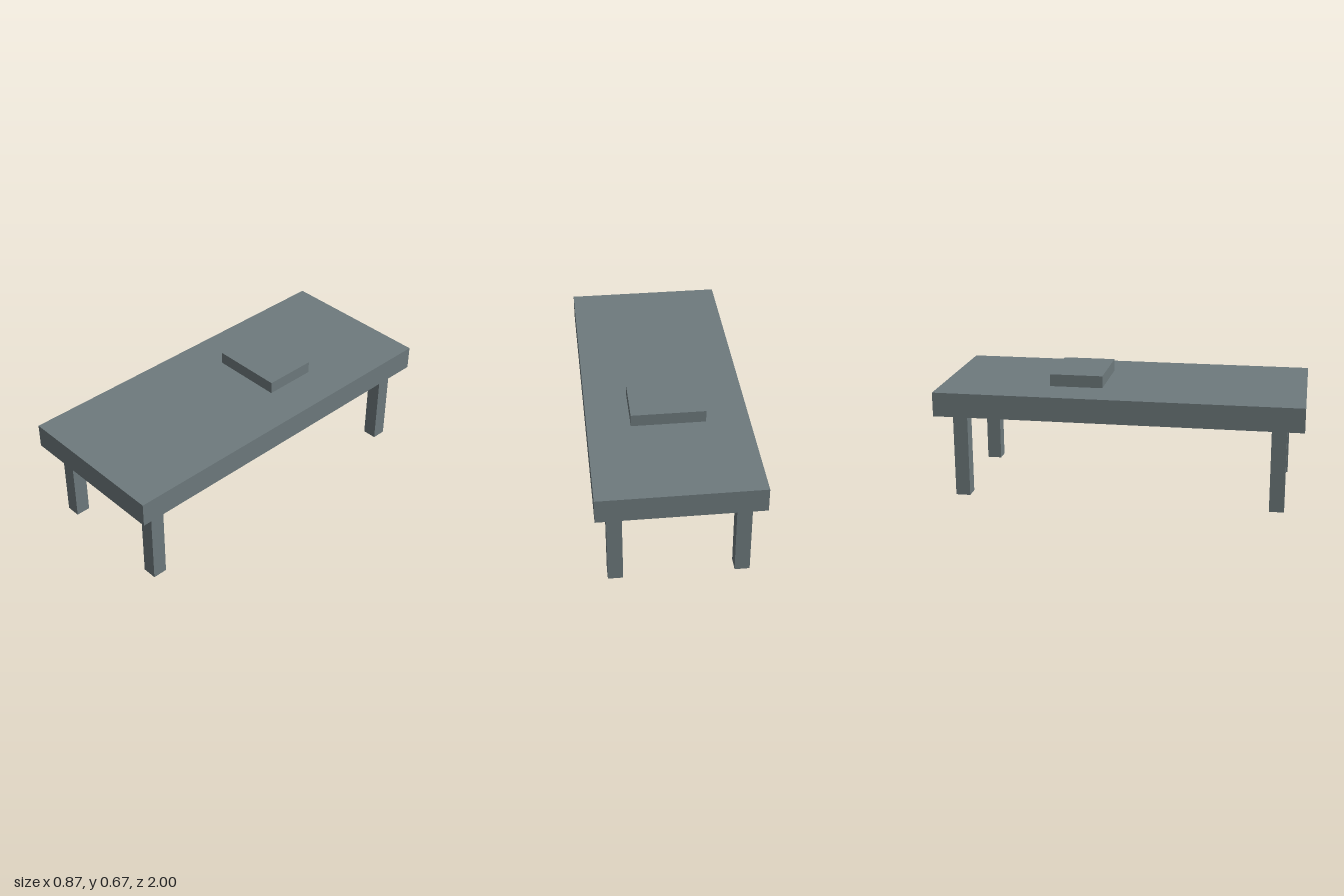
import * as THREE from 'three';

export function createModel() {
  const model = new THREE.Group();
  model.name = 'table';
  const slateGrey = new THREE.MeshStandardMaterial({ color: 0x6e7a7d });
  slateGrey.name = 'slateGrey';

  // Box given by its size and the centre of its base
  const addBox = (name, [w, h, d], [x, y, z]) => {
    const mesh = new THREE.Mesh(new THREE.BoxGeometry(w, h, d), slateGrey);
    mesh.name = name;
    mesh.position.set(x, y + h / 2, z);
    model.add(mesh);
  };

  const legHeight = 0.467;
  const topThickness = 0.133;

  // Thick slab and the small raised block behind its middle
  addBox('tableTop', [0.866, topThickness, 2], [0, legHeight, 0]);
  addBox('raisedBlock', [0.4, 0.067, 0.293], [0, legHeight + topThickness, -0.2535]);

  // Four square legs, inset from the corners
  for (const [side, x] of [['Left', 0.333], ['Right', -0.333]]) {
    for (const [end, z] of [['front', 0.867], ['back', -0.867]]) {
      addBox(`${end}${side}Leg`, [0.08, legHeight, 0.08], [x, 0, z]);
    }
  }
  return model;
}
